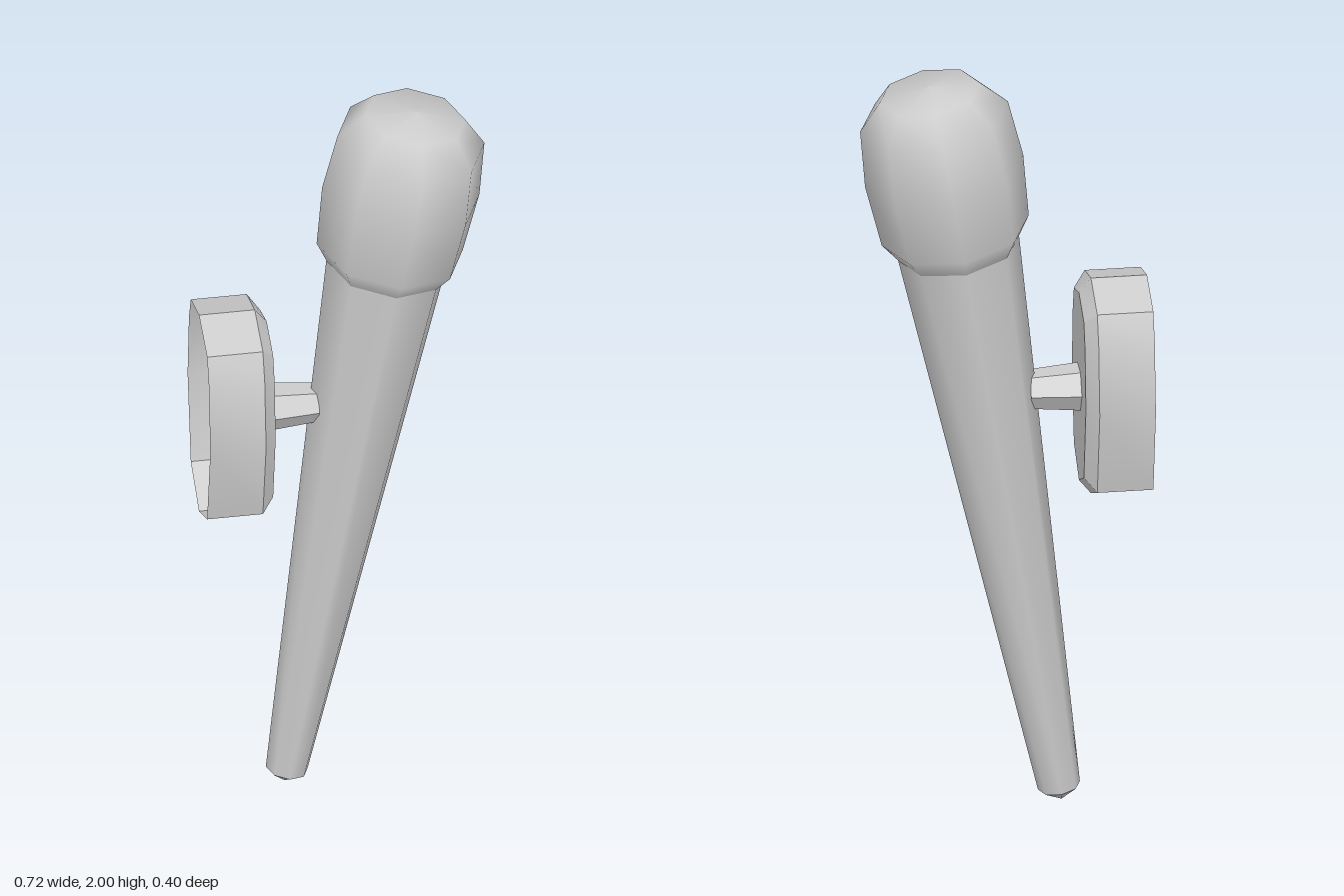
import * as THREE from 'three';
import { toCreasedNormals } from 'three/addons/utils/BufferGeometryUtils.js';

const SIDES = 8;
const material = new THREE.MeshStandardMaterial({ color: 0xcccccc, side: THREE.DoubleSide });

function addMesh(parent, name, geometry) {
  const mesh = new THREE.Mesh(geometry, material);
  mesh.name = name;
  parent.add(mesh);
  return mesh;
}

// Smooth eight-sided turned part from [radius, height] pairs
function turned(profile) {
  return new THREE.LatheGeometry(profile.map(([r, y]) => new THREE.Vector2(r, y)), SIDES);
}

// Hollow shell along x: rings [x, scaleY, scaleZ] of one outline, closed at the last ring
function shell(outline, rings, centerY) {
  const loops = rings.map(([x, sy, sz]) => outline.map(([z, y]) => [x, centerY + y * sy, z * sz]));
  const positions = [];
  const n = outline.length;
  const last = loops.length - 1;
  const hub = [rings[last][0], centerY, 0];
  for (let i = 0; i < n; i++) {
    const j = (i + 1) % n;
    for (let k = 0; k < last; k++) {
      const a = loops[k], b = loops[k + 1];
      positions.push(...a[i], ...a[j], ...b[j], ...a[i], ...b[j], ...b[i]);
    }
    positions.push(...hub, ...loops[last][i], ...loops[last][j]);
  }
  const geometry = new THREE.BufferGeometry();
  geometry.setAttribute('position', new THREE.Float32BufferAttribute(positions, 3));
  return toCreasedNormals(geometry, THREE.MathUtils.degToRad(30));
}

export function createModel() {
  const model = new THREE.Group();
  model.name = 'wallTorch';

  // Leaning torch: shaft, pointed foot and rounded head share one axis
  const torch = new THREE.Group();
  torch.name = 'torch';
  torch.position.set(-0.14, 0.04, 0);
  torch.rotation.z = -0.165;
  model.add(torch);

  addMesh(torch, 'shaft', turned([[0.053, 0], [0.153, 1.525]]));
  addMesh(torch, 'shaftTip', turned([[0, -0.038], [0.053, 0]]));
  addMesh(torch, 'head', turned([
    [0.153, 1.525], [0.186, 1.575], [0.2, 1.744],
    [0.187, 1.898], [0.127, 1.965], [0, 1.983],
  ]));

  // Wall plate: oval outline in (z, y), open towards the wall, bevelled in front
  const half = [[0, 0.298], [0.125, 0.258], [0.153, 0.185], [0.174, 0], [0.125, -0.235], [0, -0.298]];
  const outline = [...half, ...half.slice(1, -1).reverse().map(([z, y]) => [-z, y])];
  addMesh(model, 'wallPlate', shell(outline, [
    [-0.36, 1, 1], [-0.22, 1, 1], [-0.19, 0.87, 0.79],
  ], 1.142));

  // Six-sided bracket between plate and shaft, corners pointing to the sides
  const stemGeometry = new THREE.CylinderGeometry(0.049, 0.06, 0.125, 6, 1, true);
  const stem = addMesh(model, 'bracket', toCreasedNormals(stemGeometry, 0.5));
  stem.rotation.z = -Math.PI / 2;
  stem.position.set(-0.1275, 1.142, 0);

  return model;
}
